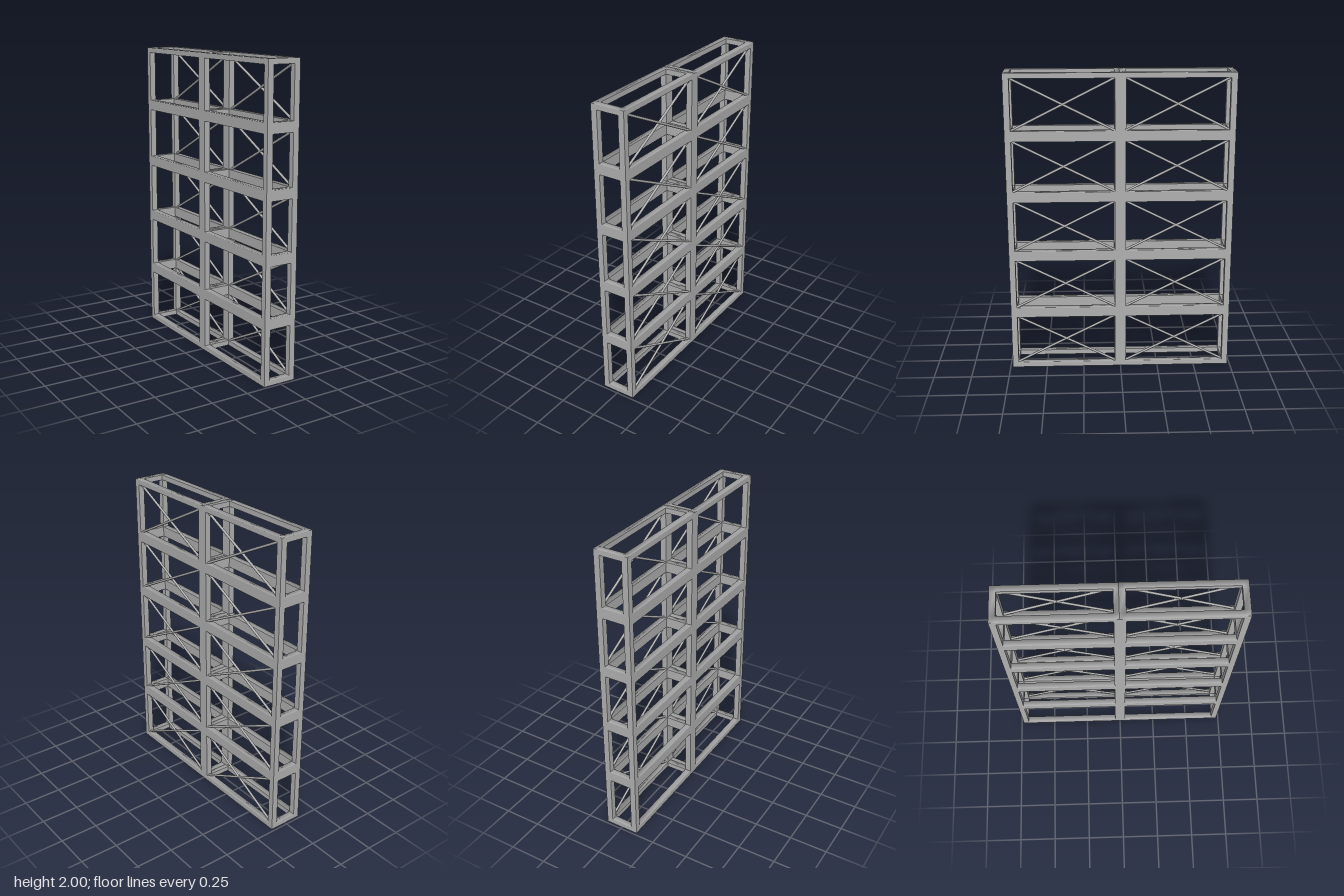
import * as THREE from 'three';

const LEVELS = 5, LEVEL_H = 0.4;
const HALF_W = 0.114, CELL_L = 0.738, END_Z = 0.734;
const BAR = 0.04, RAIL_H = 0.034;

// Tower of open bays: a block lattice keeping posts, rails and corners.
// Even lattice steps are bars, odd steps are gaps.
function frameGeometry() {
  const span = (half) => [-half, -half + BAR, half - BAR, half];
  const heights = [0, RAIL_H];
  for (let i = 1; i < LEVELS; i++) heights.push(i * LEVEL_H - RAIL_H, i * LEVEL_H + RAIL_H);
  heights.push(LEVELS * LEVEL_H - RAIL_H, LEVELS * LEVEL_H);
  const grid = [span(HALF_W), heights, span(CELL_L / 2)];

  const filled = (c) => c.every((n, a) => n >= 0 && n < grid[a].length - 1)
    && c.filter((n) => n % 2 === 0).length >= 2;

  // Upright walls shade flat; level faces roll over softly to their edges
  const outward = [-2, 0, 0, 2], inward = [0, 1, -1, 0];
  const normalAt = (p, a, s) => {
    const n = new THREE.Vector3();
    if (a !== 1) return n.setComponent(a, s);
    const lean = (p[0] % 3 && p[2] % 3) ? inward : outward;
    return n.set(lean[p[0]], s, lean[p[2]]).normalize();
  };

  const positions = [], normals = [], index = [];
  const addFace = (cell, a, s) => {
    const base = positions.length / 3;
    for (const [u, v] of [[0, 0], [1, 0], [1, 1], [0, 1]]) {
      const p = [...cell];
      if (s > 0) p[a] += 1;
      p[(a + 1) % 3] += u;
      p[(a + 2) % 3] += v;
      positions.push(...p.map((n, k) => grid[k][n]));
      normals.push(...normalAt(p, a, s).toArray());
    }
    const order = s > 0 ? [0, 1, 2, 0, 2, 3] : [0, 2, 1, 0, 3, 2];
    index.push(...order.map((i) => base + i));
  };

  for (let x = 0; x < 3; x++) {
    for (let y = 0; y < heights.length - 1; y++) {
      for (let z = 0; z < 3; z++) {
        const cell = [x, y, z];
        if (!filled(cell)) continue;
        for (let a = 0; a < 3; a++) {
          for (const s of [-1, 1]) {
            const next = [...cell];
            next[a] += s;
            if (!filled(next)) addFace(cell, a, s);
          }
        }
      }
    }
  }
  const g = new THREE.BufferGeometry();
  g.setAttribute('position', new THREE.Float32BufferAttribute(positions, 3));
  g.setAttribute('normal', new THREE.Float32BufferAttribute(normals, 3));
  g.setIndex(index);
  return g;
}

export function createModel() {
  const model = new THREE.Group();
  model.name = 'rackFrame';
  const steel = new THREE.MeshStandardMaterial({ color: 0xb0b0b0 });
  steel.name = 'grey steel';

  // Diagonal rods span the inner corners of each bay
  const dz = CELL_L - 2 * BAR, dy = LEVEL_H - 2 * RAIL_H;
  const frameGeo = frameGeometry();
  const rodGeo = new THREE.CylinderGeometry(0.008, 0.008, Math.hypot(dz, dy) + 0.02, 10);
  const tilt = Math.atan2(dz, dy);

  for (const side of [1, -1]) {
    const tower = new THREE.Group();
    tower.name = side > 0 ? 'frontTower' : 'backTower';
    tower.position.z = side * (END_Z - CELL_L / 2);

    const frame = new THREE.Mesh(frameGeo, steel);
    frame.name = 'towerFrame';
    tower.add(frame);

    // Crossed bracing on the left side only
    for (let level = 0; level < LEVELS; level++) {
      for (const lean of [1, -1]) {
        const rod = new THREE.Mesh(rodGeo, steel);
        rod.name = 'crossBrace';
        rod.position.set(HALF_W - BAR / 2, (level + 0.5) * LEVEL_H, 0);
        rod.rotation.x = lean * tilt;
        tower.add(rod);
      }
    }
    model.add(tower);
  }
  return model;
}
